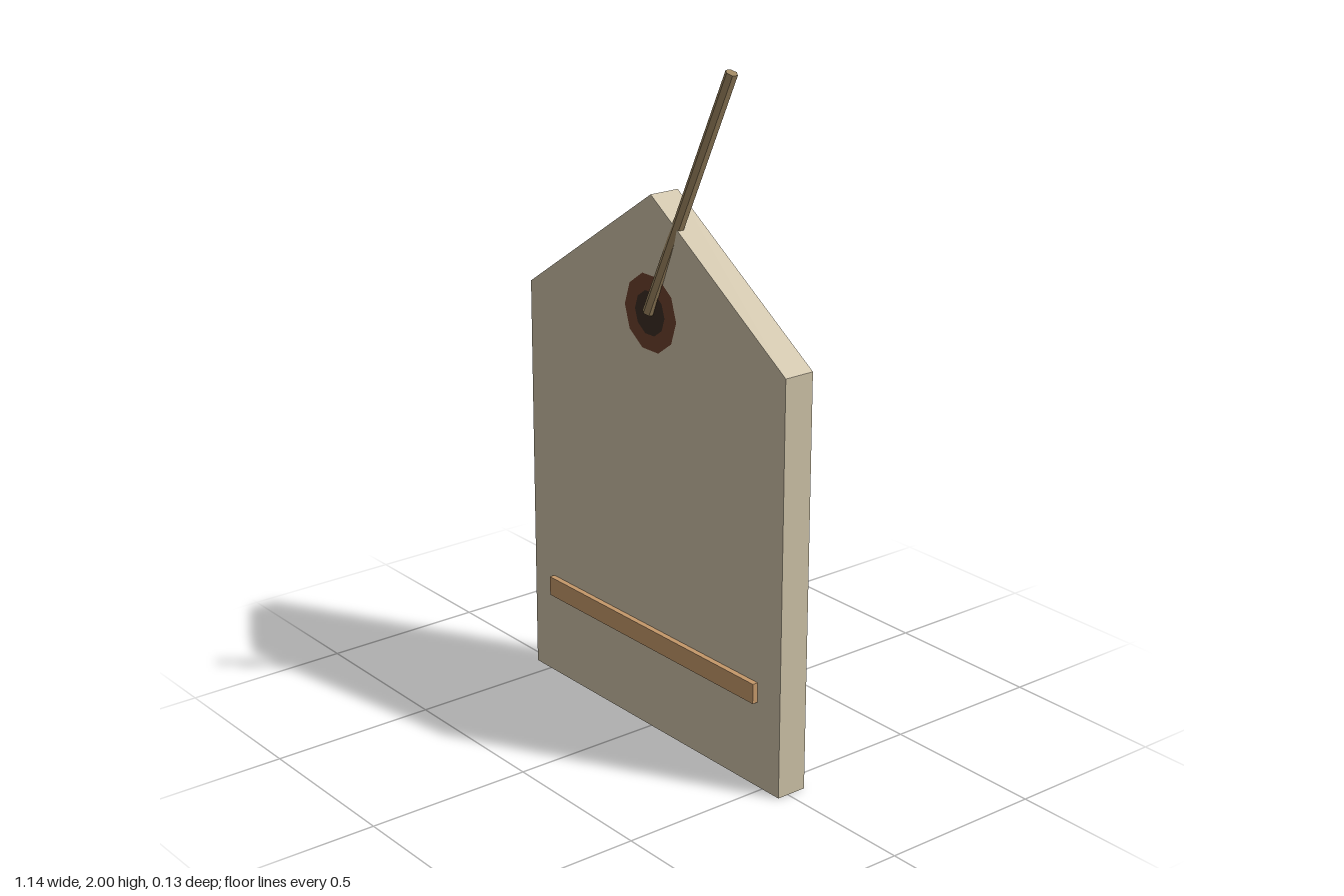
import * as THREE from 'three';

const mat = (name, color) => {
  const m = new THREE.MeshStandardMaterial({ color });
  m.name = name;
  return m;
};

export function createModel() {
  const group = new THREE.Group();
  const paper = mat('paper', 0xcbbfa5);
  const tan = mat('tan', 0xc4986a);
  const brown = mat('brown', 0x6b3f2c);
  const dark = mat('dark', 0x3a2c22);
  const twine = mat('twine', 0x9c8560);

  const add = (name, geometry, material) => {
    const mesh = new THREE.Mesh(geometry, material);
    mesh.name = name;
    group.add(mesh);
    return mesh;
  };

  // Tag body with a pointed top
  const front = 0.035, back = -0.06;
  const outline = new THREE.Shape([
    [-0.57, 0], [0.57, 0], [0.57, 1.235], [0, 1.615], [-0.57, 1.235],
  ].map(([x, y]) => new THREE.Vector2(x, y)));
  const body = new THREE.ExtrudeGeometry(outline, { depth: front - back, bevelEnabled: false });
  add('tagBody', body.translate(0, 0, back), paper);

  // Raised line near the bottom
  add('lineBar', new THREE.BoxGeometry(0.95, 0.06, 0.027), tan).position.set(0, 0.29, 0.0385);

  // Eyelet: thin ten-sided plates on both faces
  const plate = (name, radius, proud, material) => {
    for (const [side, z, turn] of [['Front', front + proud, 0], ['Back', back - proud, Math.PI]]) {
      const disc = add(name + side, new THREE.CircleGeometry(radius, 10), material);
      disc.position.set(0, 1.275, z);
      disc.rotation.y = turn;
    }
  };
  plate('eyeletRing', 0.115, 0.002, brown);
  plate('eyeletHole', 0.066, 0.004, dark);

  // Cord leaning up and back out of the eyelet
  const start = new THREE.Vector3(0, 1.278, 0.044);
  const end = new THREE.Vector3(0.282, 1.993, -0.013);
  const direction = end.clone().sub(start);
  const cordGeometry = new THREE.CylinderGeometry(0.018, 0.018, direction.length(), 6).toNonIndexed();
  cordGeometry.computeVertexNormals();
  const cord = add('cord', cordGeometry, twine);
  cord.position.copy(start).add(end).multiplyScalar(0.5);
  cord.quaternion.setFromUnitVectors(new THREE.Vector3(0, 1, 0), direction.normalize());

  return group;
}
